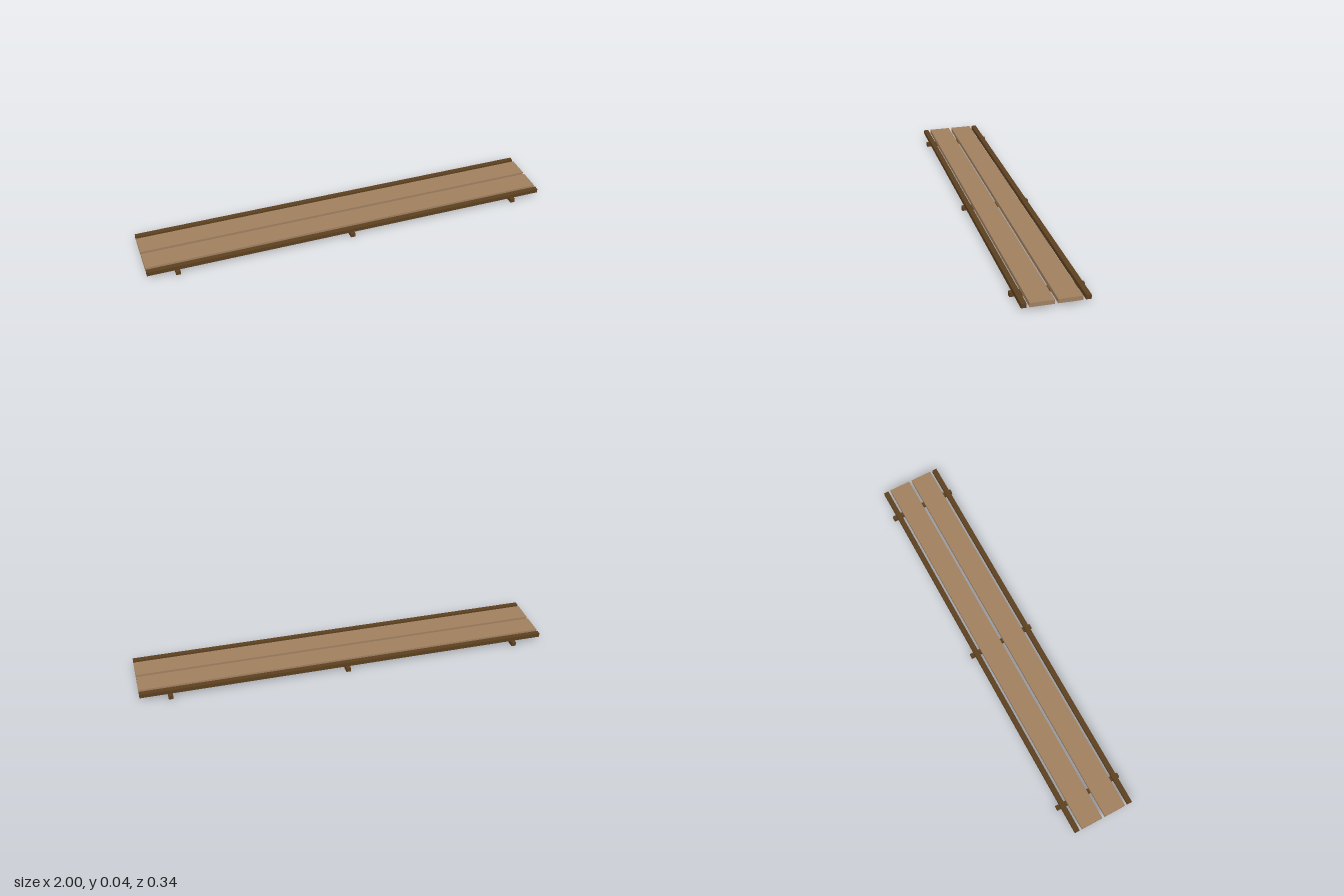
import * as THREE from 'three';

export function createModel() {
  const group = new THREE.Group();
  const plankWood = new THREE.MeshStandardMaterial({ name: 'light plank wood', color: 0xa08060 });
  const beamWood = new THREE.MeshStandardMaterial({ name: 'dark beam wood', color: 0x5c4020 });

  function addBox(name, material, size, position) {
    const mesh = new THREE.Mesh(new THREE.BoxGeometry(...size), material);
    mesh.name = name;
    mesh.position.set(...position);
    group.add(mesh);
  }

  const beamHeight = 0.02;
  const deckHeight = 0.02;
  const deckY = beamHeight + deckHeight / 2;
  const deckZ = 0.0025; // deck sits slightly forward on its cross beams

  // Cross beams underneath
  for (const x of [-0.857, 0, 0.857]) {
    addBox('crossBeam', beamWood, [0.022, beamHeight, 0.335], [x, beamHeight / 2, 0]);
  }

  // Walking planks and edge rails, mirrored front and back
  for (const side of [1, -1]) {
    const label = side > 0 ? 'front' : 'back';
    addBox(label + 'Plank', plankWood, [2, deckHeight, 0.108], [0, deckY, deckZ + side * 0.0615]);
    addBox(label + 'Rail', beamWood, [2, deckHeight, 0.024], [0, deckY, deckZ + side * 0.1405]);
  }

  return group;
}
